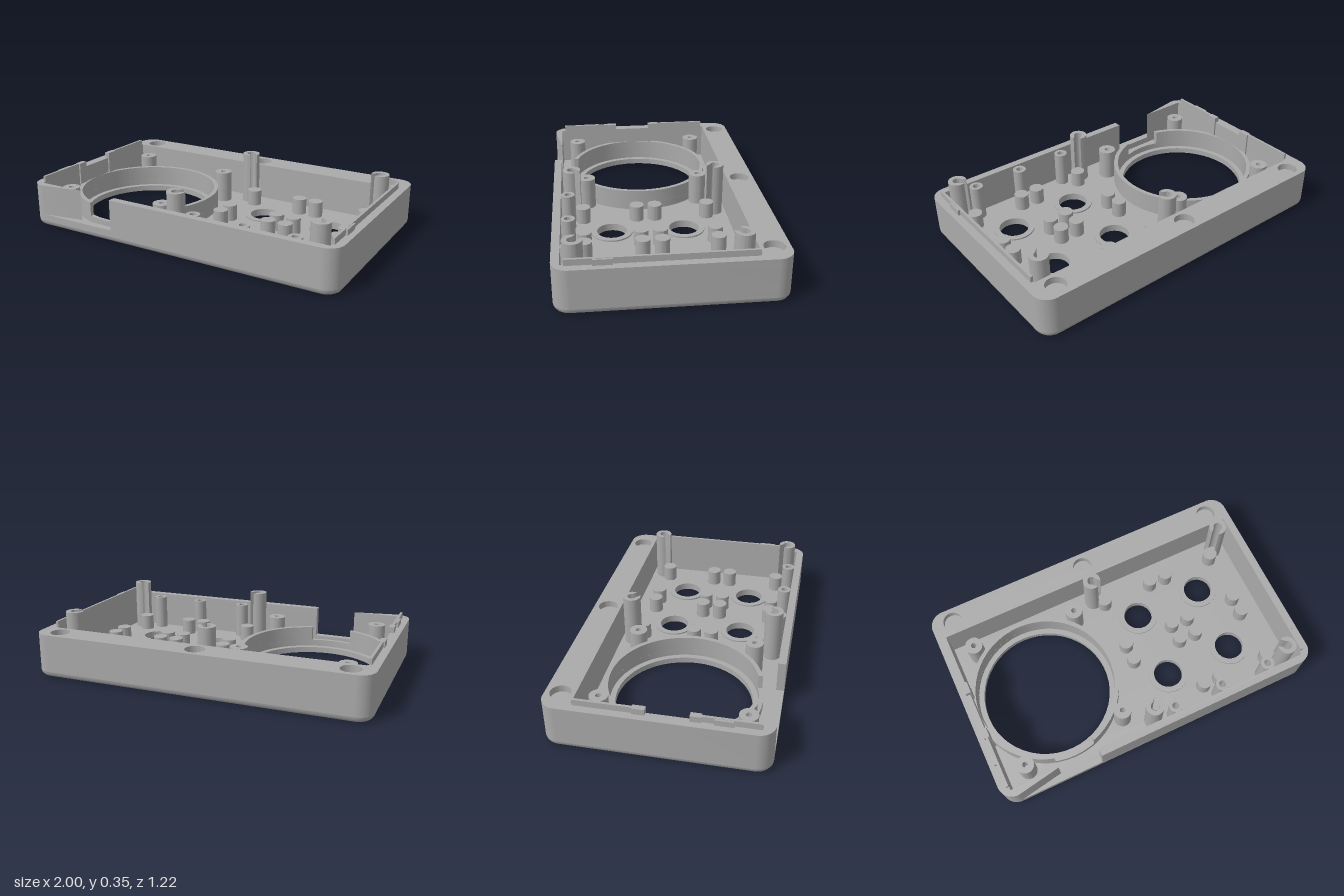
import * as THREE from 'three';
import { toCreasedNormals } from 'three/addons/utils/BufferGeometryUtils.js';

const PI = Math.PI;
const W = 1, D = 0.61, R = 0.09, TOP = 0.26, FLOOR = 0.035, SILL = 0.075;
const IN = { x: 0.94, back: -0.445, front: 0.565 };
const DIAL = { x: -0.52, z: 0.06 };
const PORT = [-0.645, -0.395];

// Plan shapes are drawn in (x, z)
function roundedRect(inset) {
  const w = W - inset, d = D - inset, r = R - inset, s = new THREE.Shape();
  s.absarc(w - r, d - r, r, 0, PI / 2);
  s.absarc(-w + r, d - r, r, PI / 2, PI);
  s.absarc(-w + r, -d + r, r, PI, PI * 1.5);
  s.absarc(w - r, -d + r, r, PI * 1.5, PI * 2);
  s.closePath();
  return s;
}

function circle(x, z, r) {
  const s = new THREE.Shape();
  s.absarc(x, z, r, 0, PI * 2);
  return s;
}

function polygon(points) {
  return new THREE.Shape(points.map(([x, z]) => new THREE.Vector2(x, z)));
}

// C-shaped outline: an arc band with a gap centred on the given angle
function openRing(x, z, outer, inner, angle, gapOuter, gapInner) {
  const s = new THREE.Shape();
  s.absarc(x, z, outer, angle + gapOuter, angle + 2 * PI - gapOuter, false);
  s.absarc(x, z, inner, angle + 2 * PI - gapInner, angle + gapInner, true);
  s.closePath();
  return s;
}

export function createModel() {
  const model = new THREE.Group();
  const plastic = new THREE.MeshStandardMaterial({ color: 0xaaaaaa });
  plastic.name = 'grey plastic';

  function add(name, geometry) {
    const mesh = new THREE.Mesh(toCreasedNormals(geometry, 0.6), plastic);
    mesh.name = name;
    model.add(mesh);
  }

  // Extrude a plan shape between two heights
  function slab(name, shape, y0, y1, holes = []) {
    shape.holes.push(...holes);
    const g = new THREE.ExtrudeGeometry(shape, { depth: y1 - y0, bevelEnabled: false, curveSegments: 24 });
    g.rotateX(PI / 2).translate(0, y1, 0);
    add(name, g);
  }

  function box(name, x0, x1, y0, y1, z0, z1) {
    const g = new THREE.BoxGeometry(x1 - x0, y1 - y0, z1 - z0);
    add(name, g.translate((x0 + x1) / 2, (y0 + y1) / 2, (z0 + z1) / 2));
  }

  // Rounded lower edge, lofted through inset outlines
  const profile = [[0.035, 0], [0.0217, 0.0027], [0.0103, 0.0103], [0.0027, 0.0217], [0, 0.035]];
  const rings = profile.map(([inset]) => roundedRect(inset).getPoints(12));
  const n = rings[0].length, pos = [], idx = [];
  rings.forEach((ring, k) => ring.forEach(p => pos.push(p.x, profile[k][1], p.y)));
  for (let k = 0; k < rings.length - 1; k++) {
    for (let i = 0; i < n; i++) {
      const a = k * n + i, b = k * n + (i + 1) % n;
      idx.push(a, a + n, b, b, a + n, b + n);
    }
  }
  const edge = new THREE.BufferGeometry();
  edge.setAttribute('position', new THREE.Float32BufferAttribute(pos, 3));
  edge.setIndex(idx);
  add('roundedBottomEdge', edge);

  // Floor with dial, knob and indicator openings, and a shallow recess underneath
  const knobs = [];
  for (const x of [0.21, 0.64]) for (const z of [-0.155, 0.275]) knobs.push([x, z]);
  const lights = [0.12, 0.43, 0.735].map(x => [x, 0.525]);
  const openings = () => [
    circle(DIAL.x, DIAL.z, 0.388),
    ...knobs.map(([x, z]) => circle(x, z, 0.088)),
    ...lights.map(([x, z]) => circle(x, z, 0.02)),
  ];
  const recess = new THREE.Path();
  recess.absarc(0.785, -0.47, 0.1, -PI / 2, PI / 2);
  recess.absarc(0.07, -0.47, 0.1, PI / 2, PI * 1.5);
  recess.closePath();
  slab('bottomSkin', roundedRect(0.035), 0, 0.004, [...openings(), recess]);
  slab('floor', roundedRect(0.035), 0.004, FLOOR, openings());

  // Walls: closed below the port sill, open above it; thick at the back
  const cavity = polygon([[-IN.x, IN.back], [IN.x, IN.back], [IN.x, IN.front], [-IN.x, IN.front]]);
  slab('lowerWall', roundedRect(0), FLOOR, SILL, [cavity]);
  function portWall() {
    const s = new THREE.Shape();
    s.moveTo(PORT[0], D);
    s.absarc(-W + R, D - R, R, PI / 2, PI);
    s.absarc(-W + R, -D + R, R, PI, PI * 1.5);
    s.absarc(W - R, -D + R, R, PI * 1.5, PI * 2);
    s.absarc(W - R, D - R, R, 0, PI / 2);
    s.lineTo(PORT[1], D);
    s.lineTo(PORT[1], IN.front);
    s.lineTo(IN.x, IN.front);
    s.lineTo(IN.x, IN.back);
    s.lineTo(-IN.x, IN.back);
    s.lineTo(-IN.x, IN.front);
    s.lineTo(PORT[0], IN.front);
    s.closePath();
    return s;
  }
  const sockets = [-0.868, -0.003, 0.865].map(x => circle(x, -0.525, 0.058));
  slab('upperWall', portWall(), SILL, 0.22);
  slab('wallRim', portWall(), 0.22, TOP, sockets);

  // Dial collar, notched behind the port
  slab('dialCollar', circle(DIAL.x, DIAL.z, 0.445), FLOOR, SILL, [circle(DIAL.x, DIAL.z, 0.42)]);
  slab('dialCollarTop', openRing(DIAL.x, DIAL.z, 0.445, 0.42, PI / 2, 0.285, 0.302), SILL, 0.16);

  // Low rims around the knob openings
  for (const [x, z] of knobs) slab('knobRim', circle(x, z, 0.122), FLOOR, 0.044, [circle(x, z, 0.088)]);

  // Indicator tubes
  for (const [x, z] of lights) slab('lightTube', circle(x, z, 0.04), FLOOR, 0.25, [circle(x, z, 0.02)]);

  // Short pegs, four around each knob
  for (const x of [0.05, 0.37, 0.48, 0.805]) {
    for (const z of [-0.315, 0.005, 0.115, 0.44]) slab('shortPeg', circle(x, z, 0.043), FLOOR, 0.13);
  }

  // Screw posts around the dial
  for (const [x, z] of [[-0.812, -0.34], [-0.17, -0.29], [-0.17, 0.41], [-0.812, 0.46]]) {
    slab('screwPost', circle(x, z, 0.052), 0.12, 0.225, [circle(x, z, 0.016)]);
    slab('screwPostBase', circle(x, z, 0.052), FLOOR, 0.12);
  }

  // Tall slotted posts, slots turned toward the middle
  for (const [x, sx] of [[-0.007, 1], [0.86, -1]]) {
    for (const [z, sz] of [[-0.37, 1], [0.5, -1]]) {
      slab('slottedPost', openRing(x, z, 0.053, 0.026, Math.atan2(sz, sx), 0.42, 0.95), FLOOR, 0.352);
    }
  }

  // Raised side lips with outer catches; the right-hand one breaks around the dial
  box('leftLip', 0.94, 0.955, 0.25, 0.295, -0.435, 0.545);
  box('rightLipBack', -0.955, -0.94, 0.25, 0.295, -0.435, -0.05);
  box('rightLipFront', -0.955, -0.94, 0.25, 0.295, 0.18, 0.545);
  for (const s of [-1, 1]) {
    const xs = [s * 0.955, s * 0.967].sort((a, b) => a - b);
    box('lipCatch', xs[0], xs[1], 0.255, 0.293, 0.305, 0.405);
  }
  for (const [z0, z1] of [[-0.12, -0.05], [0.18, 0.24]]) {
    box('lipRib', -0.963, -0.93, FLOOR, 0.295, z0, z1);
  }
  return model;
}
